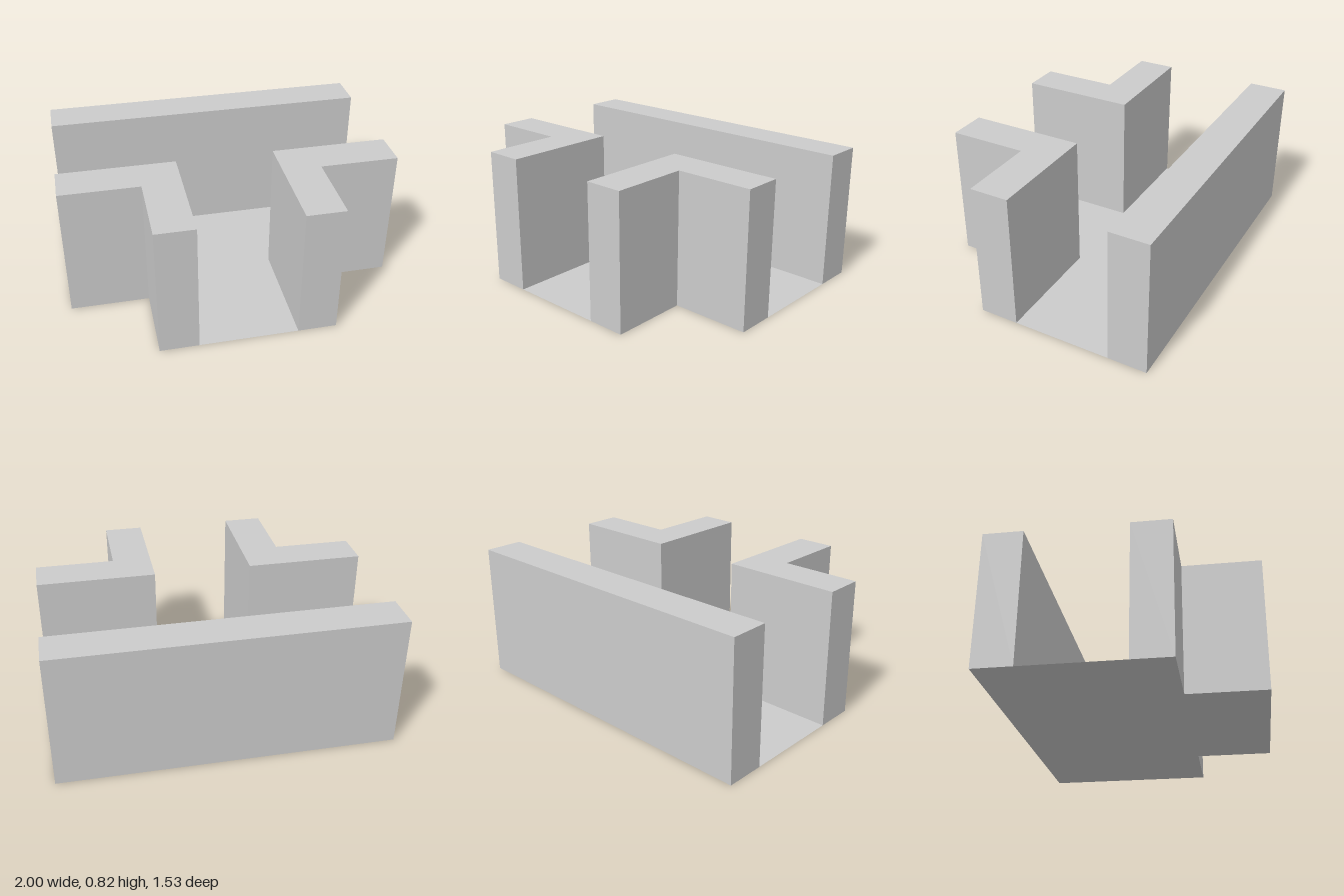
import * as THREE from 'three';

const HEIGHT = 0.82;
const FRONT = 0.763, BACK = -0.763;      // outer z limits
const STEP = 0.293, INNER = 0.06;        // front wall faces, z
const PASSAGE = 0.295, OUTER = 0.527;    // passage wall faces, x
const BACK_INNER = -0.53;

// Plan outline given as [x, z] points
const plan = (points) => new THREE.Shape(points.map(([x, z]) => new THREE.Vector2(x, -z)));

export function createModel() {
  const group = new THREE.Group();
  const material = new THREE.MeshStandardMaterial({ color: 0xcccccc, side: THREE.DoubleSide });

  const add = (name, geometry) => {
    geometry.rotateX(-Math.PI / 2);
    const mesh = new THREE.Mesh(geometry, material);
    mesh.name = name;
    group.add(mesh);
  };
  const addWall = (name, points) =>
    add(name, new THREE.ExtrudeGeometry(plan(points), { depth: HEIGHT, bevelEnabled: false }));

  // Paper-thin T-shaped floor
  add('floor', new THREE.ShapeGeometry(plan([
    [-1, BACK], [1, BACK], [1, STEP], [OUTER, STEP],
    [OUTER, FRONT], [-OUTER, FRONT], [-OUTER, STEP], [-1, STEP],
  ])));

  // Straight wall along the back
  addWall('backWall', [[-1, BACK], [1, BACK], [1, BACK_INNER], [-1, BACK_INNER]]);

  // Mirrored L-shaped corner walls beside the front passage
  for (const [name, s] of [['leftCornerWall', 1], ['rightCornerWall', -1]]) {
    addWall(name, [
      [s, INNER], [s, STEP], [s * OUTER, STEP],
      [s * OUTER, FRONT], [s * PASSAGE, FRONT], [s * PASSAGE, INNER],
    ]);
  }
  return group;
}
